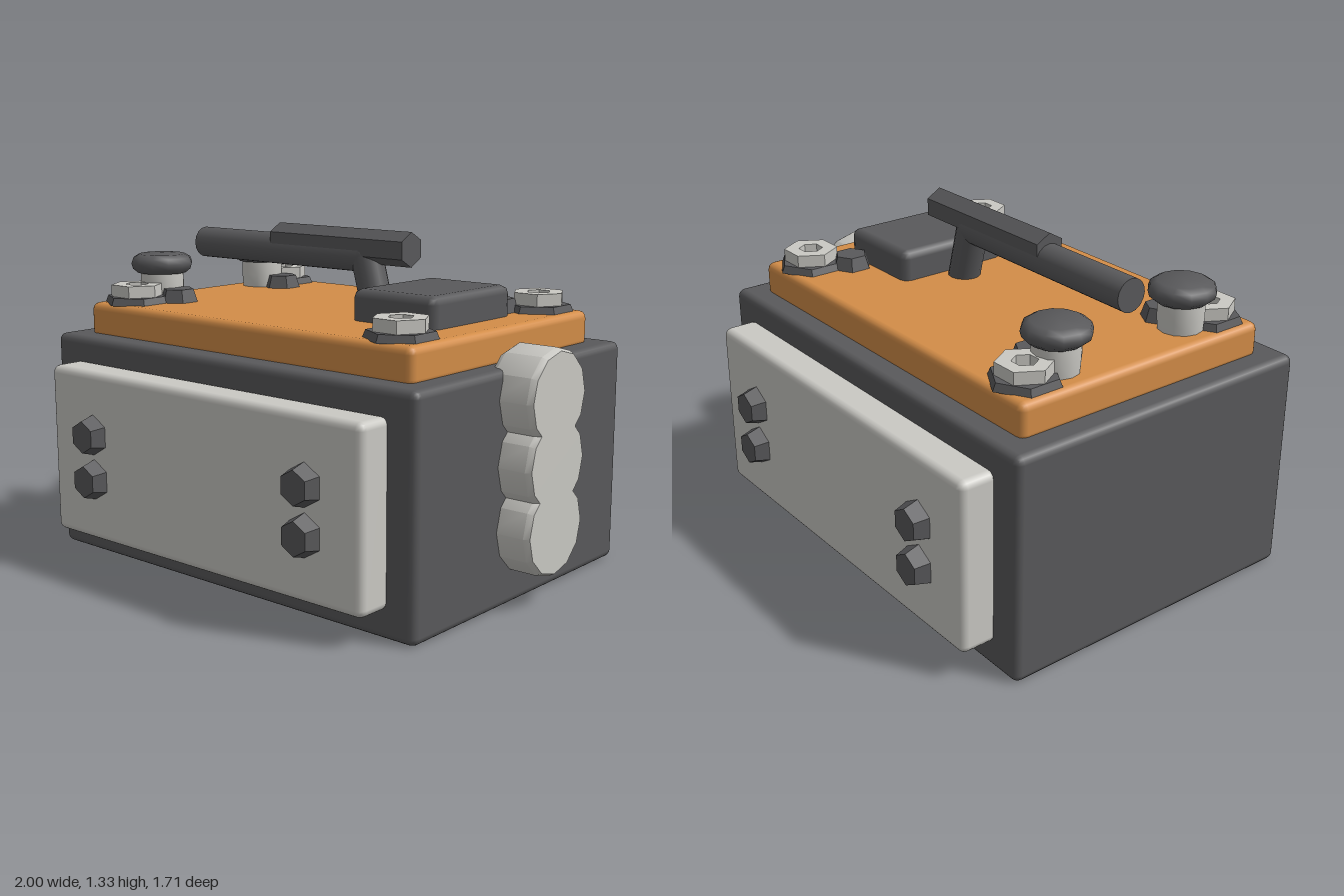
import * as THREE from 'three';
import { toCreasedNormals } from 'three/addons/utils/BufferGeometryUtils.js';
import { RoundedBoxGeometry } from 'three/addons/geometries/RoundedBoxGeometry.js';

export function createModel() {
  const model = new THREE.Group();
  model.name = 'deviceBox';

  const mat = (name, color) => {
    const m = new THREE.MeshStandardMaterial({ color });
    m.name = name;
    return m;
  };
  const dark = mat('darkGrey', 0x59595b);
  const light = mat('lightGrey', 0xcac9c4);
  const orange = mat('orange', 0xd38d48);

  const add = (name, geo, material, x = 0, y = 0, z = 0) => {
    const mesh = new THREE.Mesh(geo, material);
    mesh.name = name;
    mesh.position.set(x, y, z);
    model.add(mesh);
    return mesh;
  };

  // Rounded box given by its limits
  const block = (name, material, x0, x1, y0, y1, z0, z1, r, seg = 2) =>
    add(name, new RoundedBoxGeometry(x1 - x0, y1 - y0, z1 - z0, seg, r), material,
      (x0 + x1) / 2, (y0 + y1) / 2, (z0 + z1) / 2);

  // Turned part around y, smooth with crisp rims
  const turned = (points, sides, crease = 0.6) => toCreasedNormals(
    new THREE.LatheGeometry(points.map(([r, y]) => new THREE.Vector2(r, y)), sides), crease);

  // Faceted hexagonal stud standing on y = 0
  const hexStud = (rBottom, rTop, h) =>
    toCreasedNormals(new THREE.CylinderGeometry(rTop, rBottom, h, 6).translate(0, h / 2, 0), 0.3);

  // Main case and lid
  block('case', dark, -1, 0.865, 0, 0.89, -0.66, 0.66, 0.03);
  block('lid', orange, -0.9, 0.77, 0.87, 1.015, -0.565, 0.565, 0.03);

  // Front and back panels with their bolts
  for (const s of [1, -1]) {
    const zs = [0.64 * s, 0.795 * s].sort((a, b) => a - b);
    block('sidePanel', light, -0.875, 0.745, 0.11, 0.79, zs[0], zs[1], 0.03);
    for (const x of [-0.625, 0.49]) for (const y of [0.36, 0.54]) {
      const geo = hexStud(0.083, 0.064, 0.065).rotateX(s * Math.PI / 2);
      add('panelBolt', geo, dark, x, y, 0.788 * s);
    }
  }

  // Three stacked lobes on the left end
  const lobe = turned([[0, 0], [0.165, 0], [0.182, 0.025], [0.182, 0.178], [0.17, 0.2], [0, 0.2]], 12)
    .rotateZ(-Math.PI / 2);
  for (const y of [0.296, 0.54, 0.784]) add('endLobe', lobe, light, 0.8, y, 0);

  // Hexagonal nut ring with a hexagonal hole
  const hexPath = (path, r) => {
    for (let i = 0; i < 6; i++) {
      const a = i * Math.PI / 3;
      path[i ? 'lineTo' : 'moveTo'](r * Math.cos(a), r * Math.sin(a));
    }
    path.closePath();
    return path;
  };
  const nutShape = hexPath(new THREE.Shape(), 0.106);
  nutShape.holes.push(hexPath(new THREE.Path(), 0.048));
  const nutGeo = new THREE.ExtrudeGeometry(nutShape, { depth: 0.055, bevelEnabled: false })
    .rotateX(-Math.PI / 2);

  // Corner nuts and small bolts on the lid, mirrored front to back
  for (const s of [1, -1]) {
    for (const x of [-0.755, 0.62]) {
      add('nutWasher', hexStud(0.138, 0.125, 0.03), dark, x, 1.012, 0.435 * s);
      add('cornerNut', nutGeo, light, x, 1.035, 0.435 * s);
    }
    for (const x of [-0.645, 0.515]) {
      add('lidBolt', hexStud(0.083, 0.064, 0.058), dark, x, 1.01, 0.31 * s);
    }

    // Terminal post and knob
    add('terminalPost', turned([[0, 0], [0.085, 0], [0.09, 0.06], [0.09, 0.13], [0, 0.13]], 12),
      light, -0.755, 1.01, 0.297 * s);
    add('terminalKnob', turned([[0, 0], [0.1, 0], [0.122, 0.018], [0.128, 0.04], [0.12, 0.062],
      [0.095, 0.077], [0, 0.08]], 12, 0.9), dark, -0.755, 1.126, 0.297 * s);
  }

  // Latch block
  block('latchBlock', dark, 0.23, 0.62, 0.98, 1.135, -0.243, 0.243, 0.032, 1);

  // Carry handle: rod, elbow and slanted leg
  const bar = (name, a, b, r) => {
    const from = new THREE.Vector3(...a), dir = new THREE.Vector3(...b).sub(from);
    const mesh = add(name, new THREE.CylinderGeometry(r, r, dir.length(), 16), dark);
    mesh.position.copy(from).addScaledVector(dir, 0.5);
    mesh.quaternion.setFromUnitVectors(new THREE.Vector3(0, 1, 0), dir.normalize());
  };
  bar('handleRod', [-0.8, 1.228, 0], [0.105, 1.228, 0], 0.064);
  add('handleElbow', new THREE.SphereGeometry(0.064, 16, 10), dark, 0.105, 1.228, 0);
  bar('handleLeg', [0.105, 1.228, 0], [0.172, 0.98, 0], 0.064);

  // Hexagonal grip lying on the rod
  const grip = toCreasedNormals(new THREE.CylinderGeometry(0.068, 0.068, 0.685, 6), 0.3)
    .rotateY(Math.PI / 2).rotateZ(-Math.PI / 2);
  add('handleGrip', grip, dark, -0.018, 1.266, 0);

  return model;
}
